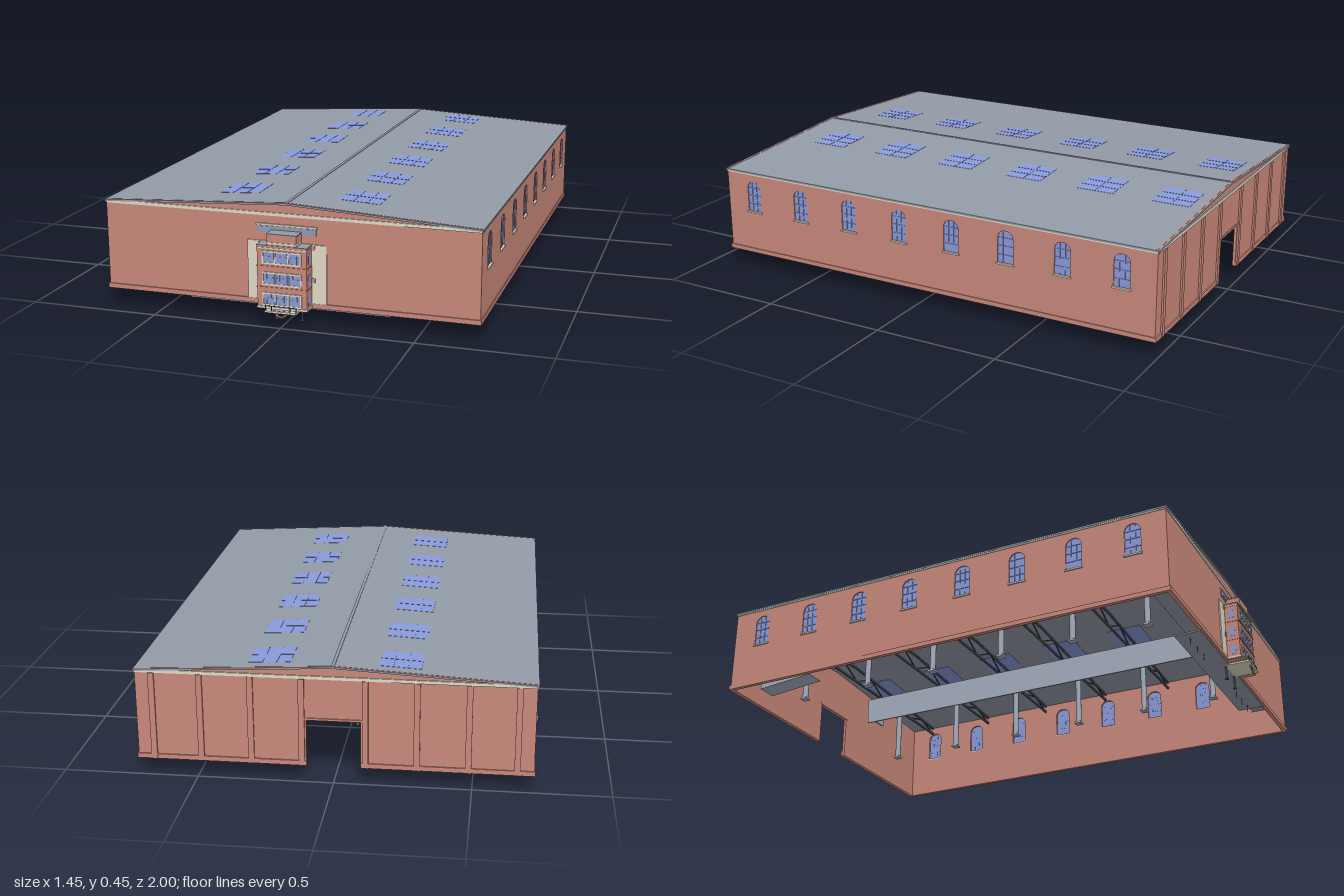
import * as THREE from 'three';

const mat = (name, color, side = THREE.FrontSide) => {
  const m = new THREE.MeshStandardMaterial({ color, side });
  m.name = name;
  return m;
};

export function createModel() {
  const hall = new THREE.Group();
  hall.name = 'brickHall';
  const brick = mat('brick', 0xca897b), slate = mat('slateGrey', 0x939ba7), cream = mat('creamStone', 0xe0dac6);
  const glass = mat('blueGlass', 0x8a9bdb, THREE.DoubleSide), dark = mat('darkIron', 0x4a4f5a), steel = mat('paleSteel', 0xa6afbf);

  // Helpers
  const add = (name, geo, m, x = 0, y = 0, z = 0, parent = hall) => {
    const mesh = new THREE.Mesh(geo, m);
    mesh.name = name;
    mesh.position.set(x, y, z);
    parent.add(mesh);
    return mesh;
  };
  const box = (name, m, w, h, d, x, y, z, parent) => add(name, new THREE.BoxGeometry(w, h, d), m, x, y, z, parent);
  const span = (name, m, x0, x1, y0, y1, z0, z1) =>
    box(name, m, x1 - x0, y1 - y0, z1 - z0, (x0 + x1) / 2, (y0 + y1) / 2, (z0 + z1) / 2);
  const poly = (pts) => new THREE.Shape(pts.map(([x, y]) => new THREE.Vector2(x, y)));
  const extrude = (shape, depth) => new THREE.ExtrudeGeometry(shape, { depth, bevelEnabled: false, curveSegments: 8 });
  const bar = (name, m, a, b, t) => {
    const p = new THREE.Vector3(...a), q = new THREE.Vector3(...b);
    const mesh = add(name, new THREE.BoxGeometry(t, t, p.distanceTo(q)), m);
    mesh.position.copy(p).add(q).multiplyScalar(0.5);
    mesh.lookAt(q);
    return mesh;
  };

  const W = 0.72, FRONT = 0.918, BACK = -0.99, BASE = 0.062, T = 0.012;
  const SLOPE = 0.039 / 0.725;
  const roofY = (x) => 0.449 - Math.abs(x) * SLOPE;

  // Side walls with arched windows
  const windowZ = Array.from({ length: 8 }, (_, i) => 0.786 - i * 0.2345);
  const arch = (Type, cx) => {
    const p = new Type();
    p.moveTo(cx - 0.032, 0.243);
    p.lineTo(cx + 0.032, 0.243);
    p.lineTo(cx + 0.032, 0.345);
    p.quadraticCurveTo(cx + 0.025, 0.37, cx, 0.37);
    p.quadraticCurveTo(cx - 0.025, 0.37, cx - 0.032, 0.345);
    p.closePath();
    return p;
  };
  for (const s of [1, -1]) {
    const side = s > 0 ? 'left' : 'right';
    const shape = poly([[BACK, BASE], [FRONT, BASE], [FRONT, 0.405], [BACK, 0.405]]);
    windowZ.forEach((z) => shape.holes.push(arch(THREE.Path, z)));
    add(side + 'Wall', extrude(shape, T), brick, s > 0 ? W : -W + T).rotation.y = -Math.PI / 2;
    span(side + 'Plinth', brick, s * W - 0.004, s * W + 0.004, BASE, 0.08, BACK, FRONT);
    span(side + 'Eaves', cream, s * W - 0.003, s * W + 0.003, 0.398, 0.405, BACK, FRONT);
    for (const z of windowZ) {
      add(side + 'WindowGlass', new THREE.ShapeGeometry(arch(THREE.Shape, z)), glass, s * (W - 0.004)).rotation.y = -Math.PI / 2;
      for (const dz of [-0.011, 0.011]) box('windowMullion', glass, 0.003, 0.122, 0.002, s * (W - 0.003), 0.305, z + dz);
      for (const y of [0.275, 0.31, 0.342]) box('windowBar', glass, 0.003, 0.002, 0.06, s * (W - 0.003), y, z);
      box('windowSill', cream, 0.018, 0.006, 0.074, s * (W - 0.003), 0.24, z);
    }
  }

  // Gable walls, with a doorway at the back
  const gable = [[W, BASE], [W, 0.403], [0, 0.441], [-W, 0.403], [-W, BASE]];
  add('frontWall', extrude(poly(gable), T), brick, 0, 0, FRONT - T);
  const doorway = [[-0.098, BASE], [-0.098, 0.24], [0.098, 0.24], [0.098, BASE]];
  add('backWall', extrude(poly([...gable, ...doorway]), T), brick, 0, 0, BACK);
  span('frontPlinth', brick, -0.724, 0.724, BASE, 0.08, FRONT - 0.002, FRONT + 0.005);
  span('frontCornice', cream, -W, W, 0.398, 0.41, FRONT - 0.002, FRONT + 0.004);
  span('backCornice', cream, -W, W, 0.398, 0.41, BACK - 0.004, BACK + 0.002);
  span('doorLintel', brick, -0.11, 0.11, 0.24, 0.248, BACK - 0.004, BACK + 0.014);
  for (const s of [1, -1]) {
    const a = s * 0.098, b = s * 0.724;
    span('backPlinth', brick, Math.min(a, b), Math.max(a, b), BASE, 0.08, BACK - 0.005, BACK);
    for (const x of [0.115, 0.3, 0.485, 0.66]) box('backPilaster', brick, 0.022, 0.336, 0.008, s * x, 0.23, BACK - 0.003);
  }

  // Roof with low ridge and brick verges
  const roof = poly([[-0.725, 0.403], [0, 0.442], [0.725, 0.403], [0.725, 0.41], [0, 0.449], [-0.725, 0.41]]);
  add('roof', extrude(roof, 1.92), slate, 0, 0, -0.996);
  box('ridgeCap', slate, 0.012, 0.003, 1.92, 0, 0.449, -0.036);
  for (const s of [1, -1]) for (const z of [-0.985, 0.914]) {
    bar('vergeTrim', brick, [0, 0.447, z], [s * 0.72, roofY(0.72) - 0.002, z], 0.006);
  }

  // Skylights
  for (const s of [1, -1]) for (let i = 0; i < 6; i++) {
    const light = new THREE.Group();
    light.name = 'skylight';
    light.position.set(s * 0.235, roofY(0.235), -0.865 + i * 0.314);
    light.rotation.z = -s * Math.atan(SLOPE);
    hall.add(light);
    box('skylightGlass', glass, 0.152, 0.002, 0.152, 0, 0, 0, light);
    box('skylightInnerGlass', glass, 0.152, 0.002, 0.152, 0, -0.008, 0, light);
    for (const d of [-0.026, 0.026]) box('skylightBar', glass, 0.003, 0.002, 0.152, d, 0.001, 0, light);
    box('skylightCrossBar', glass, 0.152, 0.002, 0.003, 0, 0.001, 0, light);
  }

  // Roof trusses on two rows of columns
  for (let i = 0; i < 6; i++) {
    const z = 0.705 - i * 0.314, n = 12;
    bar('trussBottomChord', dark, [-0.7, 0.37, z], [0.7, 0.37, z], 0.008);
    for (const s of [1, -1]) {
      bar('trussTopChord', dark, [0, 0.434, z], [s * 0.7, 0.398, z], 0.008);
      add('column', new THREE.CylinderGeometry(0.012, 0.012, 0.28, 10), steel, s * 0.38, 0.27, z);
      box('columnFoot', steel, 0.03, 0.008, 0.03, s * 0.38, 0.132, z);
    }
    for (let k = 0; k < n; k++) {
      const x0 = -0.7 + k * 1.4 / n, x1 = x0 + 1.4 / n, up = k % 2;
      bar('trussWeb', dark, [x0, up ? roofY(x0) - 0.014 : 0.37, z], [x1, up ? 0.37 : roofY(x1) - 0.014, z], 0.005);
    }
  }

  // Central gallery: deck with a raised lattice side and a deep lower side
  span('galleryDeck', slate, -0.06, 0.06, 0.19, 0.196, -0.75, 0.84);
  span('galleryRaisedSide', steel, 0.057, 0.063, 0.19, 0.26, -0.75, 0.84);
  span('galleryDeepSide', steel, -0.063, -0.057, 0.12, 0.23, -0.75, 0.84);
  for (let i = 0; i < 14; i++) {
    const z = 0.8 - i * 0.11;
    bar('galleryBrace', dark, [0.064, 0.198, z], [0.064, 0.252, z - 0.055], 0.003);
  }
  span('galleryEnd', steel, -0.06, 0.06, 0.15, 0.23, -0.755, -0.748);

  // Side and front catwalks with rails, handwheels and a back stair
  span('sideCatwalk', slate, -0.66, -0.59, 0.13, 0.136, -0.7, 0.86);
  span('frontCatwalk', slate, -0.66, 0.6, 0.13, 0.136, 0.81, 0.88);
  for (const y of [0.155, 0.175]) {
    bar('catwalkRail', dark, [-0.59, y, -0.7], [-0.59, y, 0.81], 0.004);
    bar('frontRail', dark, [-0.59, y, 0.81], [0.6, y, 0.81], 0.004);
  }
  for (let i = 0; i <= 10; i++) {
    box('catwalkPost', dark, 0.004, 0.045, 0.004, -0.59, 0.153, 0.8 - i * 0.15);
    box('frontRailPost', dark, 0.004, 0.045, 0.004, 0.6 - i * 0.119, 0.153, 0.81);
  }
  for (const z of [0.2, -0.5]) {
    add('handwheel', new THREE.TorusGeometry(0.025, 0.003, 6, 18), cream, -0.58, 0.16, z).rotation.y = Math.PI / 2;
    bar('handwheelSpoke', cream, [-0.58, 0.135, z], [-0.58, 0.185, z], 0.003);
  }
  const stair = add('backStair', extrude(poly([[-0.9, 0.08], [-0.66, 0.1], [-0.9, 0.22]]), 0.08), steel, -0.56);
  stair.rotation.y = -Math.PI / 2;

  // Front platform, pegs and posts
  span('frontPlatform', slate, -0.39, 0.39, 0.055, 0.061, 0.81, 0.915);
  span('bayFloor', cream, -0.06, 0.06, 0.055, 0.062, 0.9, 0.998);
  for (const s of [1, -1]) {
    for (const x of [0.2, 0.272, 0.35]) box('platformPeg', dark, 0.002, 0.03, 0.002, s * x, 0.042, 0.86);
    box('platformPost', dark, 0.006, 0.06, 0.006, s * 0.05, 0.03, 0.9);
    box('postFoot', dark, 0.012, 0.006, 0.012, s * 0.05, 0.003, 0.9);
  }

  // Stone panels and the high window behind the bay
  for (const s of [1, -1]) {
    box('stonePanel', cream, 0.056, 0.226, 0.005, s * 0.124, 0.189, FRONT + 0.002);
    box('innerStonePanel', cream, 0.056, 0.226, 0.006, s * 0.124, 0.189, FRONT - T - 0.003);
  }
  box('highWindowPanel', slate, 0.226, 0.026, 0.004, 0, 0.348, FRONT + 0.002);
  box('highLintel', cream, 0.236, 0.006, 0.006, 0, 0.365, FRONT + 0.003);
  for (const x of [-0.09, -0.07, 0.07, 0.09]) box('highWindowPane', glass, 0.012, 0.016, 0.002, x, 0.35, FRONT + 0.004);

  // Bay: stacked storeys with string courses
  const bayLevel = (name, m, w, y0, y1, depth) => span(name, m, -w, w, y0, y1, FRONT, FRONT + depth);
  bayLevel('bayBody', brick, 0.095, 0.062, 0.3, 0.057);
  bayLevel('bayAttic', brick, 0.056, 0.3, 0.343, 0.057);
  bayLevel('bayAtticCap', slate, 0.058, 0.343, 0.346, 0.059);
  bayLevel('bayAtticBand', cream, 0.057, 0.308, 0.314, 0.059);
  bayLevel('bayRoof', slate, 0.097, 0.3, 0.303, 0.06);
  for (const y of [0.142, 0.222]) bayLevel('bayCourse', brick, 0.097, y, y + 0.004, 0.06);
  bayLevel('bayTopBand', cream, 0.097, 0.29, 0.294, 0.059);
  bayLevel('bayFoot', cream, 0.097, 0.064, 0.071, 0.06);
  const face = FRONT + 0.058;
  for (const y of [0.1, 0.178, 0.258]) {
    for (const dy of [-0.022, 0.022]) box('bayWindowRail', cream, 0.15, 0.006, 0.006, 0, y + dy, face);
    for (const x of [-0.05, 0, 0.05]) {
      box('bayWindow', glass, 0.042, 0.038, 0.003, x, y, face);
      box('bayWindowBar', slate, 0.042, 0.002, 0.005, x, y + 0.004, face);
      for (const dx of [-0.008, 0.008]) box('bayWindowMullion', slate, 0.002, 0.038, 0.005, x + dx, y, face);
    }
    for (const x of [-0.073, -0.025, 0.025, 0.073]) box('bayWindowPost', cream, 0.005, 0.04, 0.006, x, y, face);
    for (const s of [1, -1]) box('baySideWindow', glass, 0.004, 0.036, 0.022, s * 0.094, y, FRONT + 0.03);
  }
  for (const s of [1, -1]) for (const y of [0.168, 0.29]) {
    box('bayBracket', brick, 0.014, 0.018, 0.006, s * 0.102, y, FRONT + 0.004);
  }

  // Balcony rail and beaded fan under the bay
  for (const s of [1, -1]) {
    for (const x of [0.035, 0.058]) box('balconyPost', dark, 0.003, 0.02, 0.003, s * x, 0.07, 0.992);
  }
  bar('balconyRail', dark, [-0.06, 0.079, 0.992], [0.06, 0.079, 0.992], 0.002);
  add('fanRim', new THREE.TorusGeometry(0.022, 0.003, 6, 16, Math.PI), cream, 0, 0.062, 0.99).rotation.z = Math.PI;
  for (let i = 0; i <= 8; i++) {
    const a = Math.PI + i * Math.PI / 8, c = Math.cos(a), d = Math.sin(a);
    add('fanBead', new THREE.SphereGeometry(0.003, 6, 5), brick, c * 0.027, 0.062 + d * 0.027, 0.99);
    bar('fanSpoke', dark, [0, 0.062, 0.99], [c * 0.022, 0.062 + d * 0.022, 0.99], 0.002);
  }
  return hall;
}
